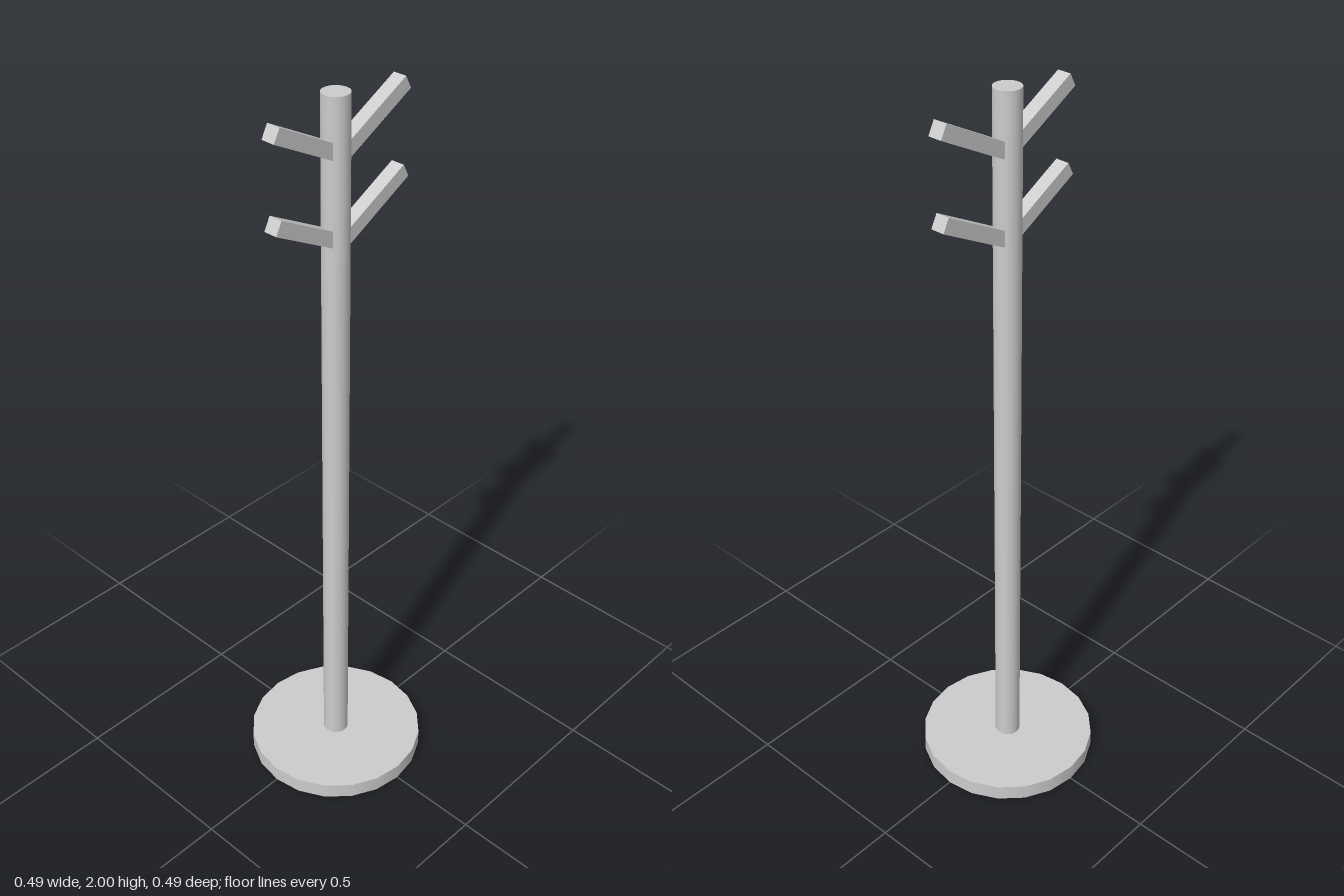
import * as THREE from 'three';

export function createModel() {
  const group = new THREE.Group();
  const material = new THREE.MeshStandardMaterial({ color: 0xcccccc });
  const add = (name, geometry, parent = group) => {
    const mesh = new THREE.Mesh(geometry, material);
    mesh.name = name;
    parent.add(mesh);
    return mesh;
  };

  // Round foot
  const baseHeight = 0.045;
  add('base', new THREE.CylinderGeometry(0.245, 0.245, baseHeight, 20)).position.y = baseHeight / 2;

  // Upright pole
  const poleHeight = 2 - baseHeight;
  add('pole', new THREE.CylinderGeometry(0.035, 0.035, poleHeight, 32)).position.y = baseHeight + poleHeight / 2;

  // Square pegs rising outwards, two at the front and two at the back
  const size = 0.038, length = 0.225, tilt = THREE.MathUtils.degToRad(28);
  const pegGeometry = new THREE.BoxGeometry(size, size, length).translate(0, 0, -length / 2);
  for (const [side, reach] of [['front', 0.202], ['back', 0.222]]) {
    for (const [level, tipY] of [['upper', 1.963], ['lower', 1.744]]) {
      const arm = new THREE.Group();
      arm.name = `${level} ${side} peg`;
      arm.rotation.y = side === 'front' ? 0 : Math.PI;
      const peg = add('peg', pegGeometry, arm);
      peg.position.set(0, tipY, reach);
      peg.rotation.x = -tilt;
      group.add(arm);
    }
  }
  return group;
}
